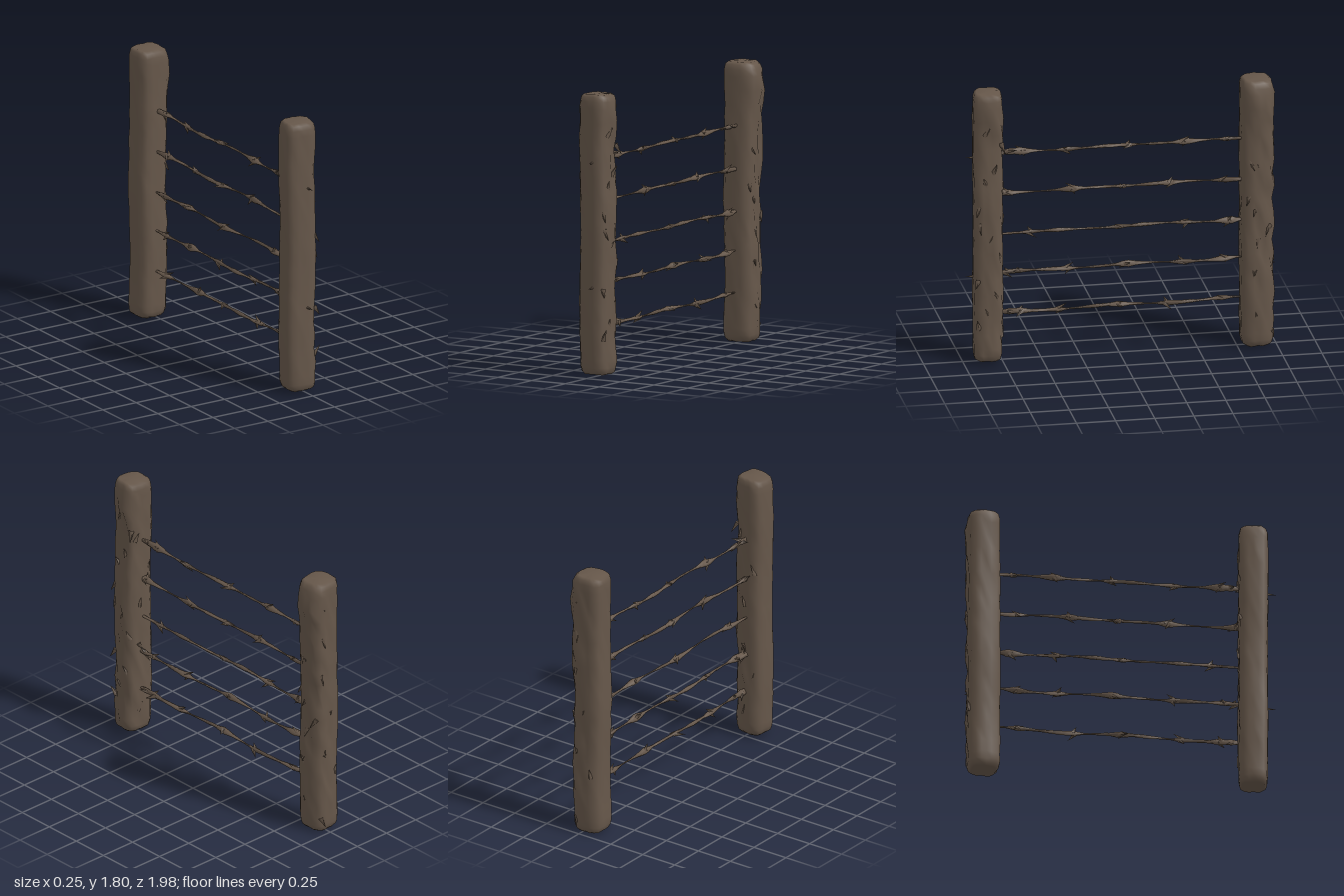
import * as THREE from 'three';

const wood = new THREE.MeshStandardMaterial({ color: 0x66574a });
wood.name = 'weathered brown';

// Small seeded generator returning -1..1
function seeded(seed) {
  let s = seed;
  return () => {
    s = (s * 16807) % 2147483647;
    return (s / 2147483647) * 2 - 1;
  };
}

// Closed skin over rings of points stacked along y
function loft(rings, sides, point) {
  const pos = [], idx = [];
  const middle = [[0, 0, 0], [0, 0, 0]];
  for (let i = 0; i < rings; i++) {
    for (let j = 0; j < sides; j++) {
      const p = point(i, (j / sides) * Math.PI * 2);
      pos.push(...p);
      const m = i === 0 ? middle[0] : i === rings - 1 ? middle[1] : null;
      if (m) p.forEach((v, k) => { m[k] += v / sides; });
    }
  }
  const bottom = rings * sides, top = bottom + 1;
  pos.push(...middle[0], ...middle[1]);
  for (let j = 0; j < sides; j++) {
    const k = (j + 1) % sides, end = (rings - 1) * sides;
    for (let i = 0; i < rings - 1; i++) {
      const a = i * sides + j, b = i * sides + k;
      idx.push(a, a + sides, b + sides, a, b + sides, b);
    }
    idx.push(bottom, j, k, top, end + k, end + j);
  }
  const g = new THREE.BufferGeometry();
  g.setAttribute('position', new THREE.Float32BufferAttribute(pos, 3));
  g.setIndex(idx);
  g.computeVertexNormals();
  return g;
}

function addMesh(parent, geometry, name) {
  const m = new THREE.Mesh(geometry, wood);
  m.name = name;
  parent.add(m);
  return m;
}

// Spike from a base point along a direction
function addSpike(parent, name, base, dir, length, radius) {
  const g = new THREE.ConeGeometry(radius, length, 4);
  g.translate(0, length / 2, 0);
  const m = addMesh(parent, g, name);
  m.position.set(...base);
  m.quaternion.setFromUnitVectors(new THREE.Vector3(0, 1, 0), new THREE.Vector3(...dir).normalize());
}

// Rough squared log: smooth on -x, chipped on +x and -z
function makePost({ name, z, y0, y1, halfX, halfZ, turn, bulge, seed }) {
  const rnd = seeded(seed);
  const post = new THREE.Group();
  post.name = name;
  const heights = [0, 0.008, 0.025];
  for (let i = 1; i < 20; i++) heights.push(i / 20);
  heights.push(0.975, 0.992, 1);
  const last = heights.length - 1;
  const geometry = loft(heights.length, 20, (i, a) => {
    const c = Math.cos(a), s = Math.sin(a);
    const edge = Math.min(i, last - i);
    const shrink = [0.76, 0.91, 0.985][edge] ?? 1;
    const square = Math.pow(c ** 4 + s ** 4, -0.25);
    const t = heights[i];
    const chips = edge > 2 ? 0.004 + 0.011 * Math.max(0, c * 0.7 - s * 0.5) : 0.002;
    const r = square * shrink;
    const swell = bulge * Math.exp(-(((t - 0.92) / 0.07) ** 2)) * Math.max(0, c);
    const lx = c * (halfX * r + rnd() * chips + swell);
    const lz = s * (halfZ * r + rnd() * chips);
    const sway = 0.005 * Math.sin(t * 11 + seed);
    return [
      -0.015 + sway + lx * Math.cos(turn) - lz * Math.sin(turn),
      y0 + (y1 - y0) * t + (edge < 3 ? rnd() * 0.003 : rnd() * 0.008),
      z + lx * Math.sin(turn) + lz * Math.cos(turn),
    ];
  });
  addMesh(post, geometry, 'log');

  // Splinters lifting off the +x and -z faces
  for (let k = 0; k < 18; k++) {
    const onSide = k % 3 !== 0;
    const y = 0.12 + (k / 18) * 1.5 + rnd() * 0.04;
    const off = rnd() * 0.075;
    const up = rnd() > 0 ? 1 : -1;
    const base = onSide ? [halfX - 0.033, y, z + off] : [off - 0.01, y, z - halfZ + 0.014];
    const dir = onSide ? [0.5, up, rnd() * 0.5] : [rnd() * 0.5, up, -0.33];
    addSpike(post, 'splinter', base, dir, 0.075 + 0.015 * rnd(), 0.019);
  }
  return post;
}

// Flattened, twisted strand that swells unevenly around each barb
function makeWire(y, barbs, seed) {
  const rnd = seeded(seed);
  const wire = new THREE.Group();
  wire.name = 'barbedWire';
  const rings = 50, z0 = -0.86, z1 = 0.84;
  const bend = (z) => [-0.008 + 0.007 * Math.sin(z * 7 + seed), y + 0.004 * Math.sin(z * 9 + seed * 2)];
  const geometry = loft(rings, 6, (i, a) => {
    const z = z0 + ((z1 - z0) * i) / (rings - 1);
    const near = Math.min(...barbs.map((b) => Math.abs(b - z)));
    const r = 0.008 + 0.009 * Math.exp(-((near / 0.05) ** 2)) + 0.002 * Math.sin(z * 23 + seed) + 0.001 * rnd();
    const twist = z * 6 + seed;
    const [cx, cy] = bend(z);
    const u = Math.cos(a) * r * 1.35, v = Math.sin(a) * r * 0.75;
    const dx = u * Math.cos(twist) - v * Math.sin(twist);
    const dy = u * Math.sin(twist) + v * Math.cos(twist);
    return [cx + dx, z, dy - cy];
  });
  // Lay the strand along z
  geometry.rotateX(Math.PI / 2);
  addMesh(wire, geometry, 'strand');

  // Two slanting points per barb, one long and one short
  barbs.forEach((z, n) => {
    const [cx, cy] = bend(z);
    const spin = n * 1.9 + seed;
    const lean = n % 2 ? 1 : -1;
    for (let k = 0; k < 2; k++) {
      const a = spin + k * 2.7;
      const slant = (k ? -0.7 : 1.4) * lean * (1 + 0.3 * rnd());
      addSpike(wire, 'barb', [cx, cy, z - slant * 0.014],
        [Math.cos(a), Math.sin(a), slant], (k ? 0.052 : 0.075) + 0.008 * rnd(), 0.017);
    }
  });
  return wire;
}

export function createModel() {
  const model = new THREE.Group();
  model.name = 'barbedWireFence';

  model.add(makePost({ name: 'frontPost', z: 0.84, y0: 0.01, y1: 1.79, halfX: 0.1, halfZ: 0.093, turn: 0.12, bulge: 0.008, seed: 71 }));
  model.add(makePost({ name: 'backPost', z: -0.877, y0: 0, y1: 1.775, halfX: 0.102, halfZ: 0.1, turn: -0.06, bulge: 0.032, seed: 929 }));

  const wires = [
    [1.375, [0.7, 0.62, 0.34, -0.06, -0.42, -0.68]],
    [1.105, [0.72, 0.3, -0.03, -0.33, -0.66]],
    [0.835, [0.57, 0, -0.42, -0.7]],
    [0.578, [0.72, 0.65, 0.33, -0.05, -0.4, -0.67]],
    [0.31, [0.7, 0.63, 0.38, 0, -0.3, -0.66]],
  ];
  wires.forEach(([y, barbs], i) => model.add(makeWire(y, barbs, 13 + i * 37)));

  // Wire ends poking through the posts
  for (const y of [1.36, 0.565]) addSpike(model, 'wireEnd', [0, y, 0.91], [0.1, 0, 1], 0.08, 0.012);
  for (const y of [1.6, 0.55]) addSpike(model, 'wireEnd', [0.03, y, -0.95], [0.1, -0.1, -1], 0.043, 0.012);
  return model;
}
